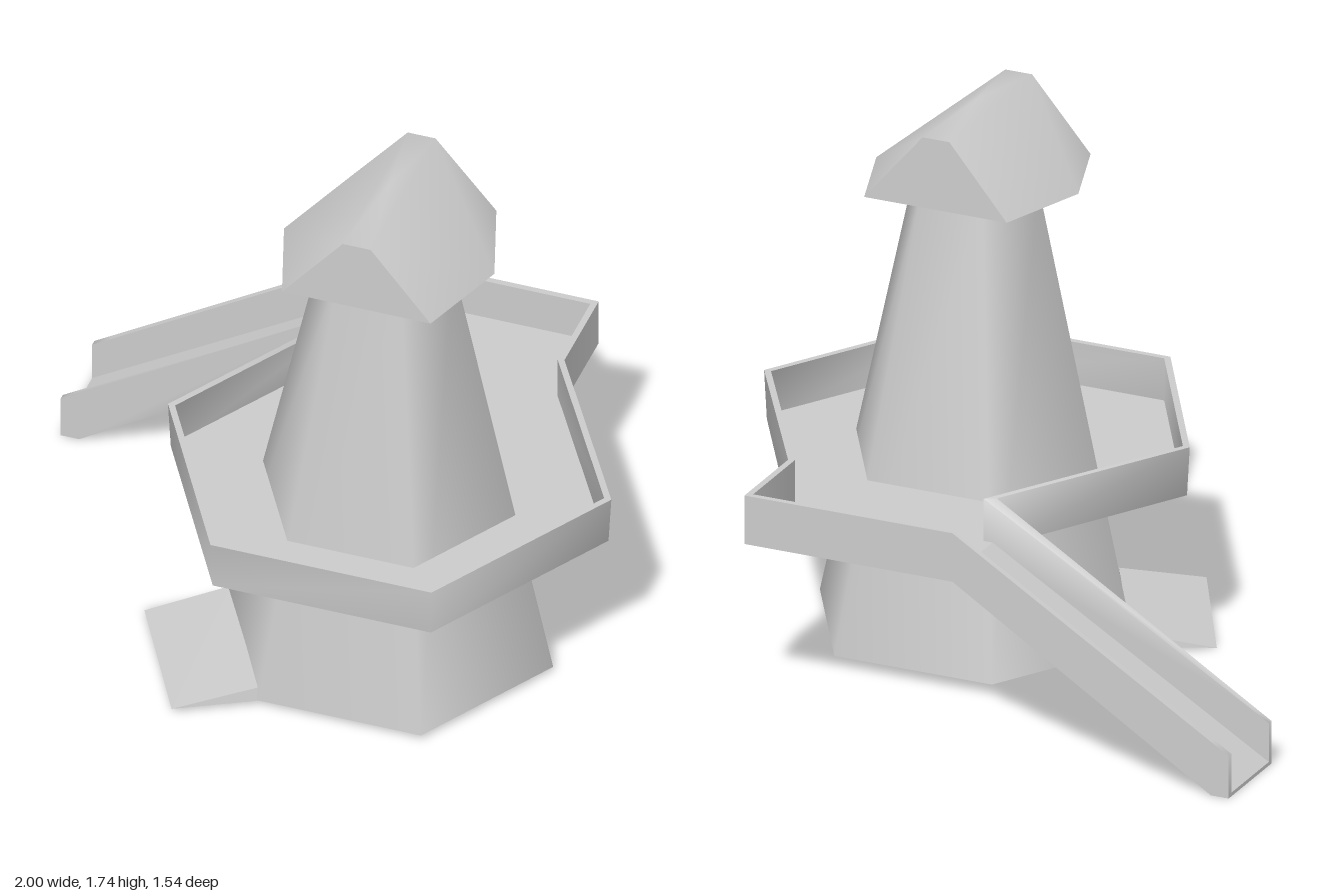
import * as THREE from 'three';
import { toCreasedNormals } from 'three/addons/utils/BufferGeometryUtils.js';
import { ConvexGeometry } from 'three/addons/geometries/ConvexGeometry.js';

const CX = 0.28, CZ = 0.15; // tower axis
const CREASE = 1.1;

// Thin wall following path points [x, z, yBottom, yTop, flare]; outside is on the left normal
function wallGeometry(path, width) {
  const normal = (a, b) => new THREE.Vector2(a[1] - b[1], b[0] - a[0]).normalize();
  const pos = [], idx = [], last = path.length - 1;
  path.forEach((p, i) => {
    const n0 = normal(path[Math.max(i - 1, 0)], path[Math.max(i, 1)]);
    const n1 = normal(path[Math.min(i, last - 1)], path[Math.min(i + 1, last)]);
    const m = n0.clone().add(n1).divideScalar(1 + n0.dot(n1));
    const [x, z, y0, y1, flare = 0] = p;
    for (const [off, y] of [[-flare, y0], [0, y1], [-width, y1], [-width, y0]]) {
      pos.push(x + m.x * off, y, z + m.y * off);
    }
    if (i < last) {
      for (let j = 0; j < 4; j++) {
        const a = i * 4 + j, b = i * 4 + (j + 1) % 4;
        idx.push(a, a + 4, b + 4, a, b + 4, b);
      }
    }
  });
  const e = last * 4;
  idx.push(0, 1, 2, 0, 2, 3, e, e + 2, e + 1, e, e + 3, e + 2);
  const g = new THREE.BufferGeometry();
  g.setAttribute('position', new THREE.Float32BufferAttribute(pos, 3));
  g.setIndex(idx);
  return toCreasedNormals(g, CREASE);
}

function polygon(points) {
  return new THREE.Shape(points.map(([x, y]) => new THREE.Vector2(x, y)));
}

export function createModel() {
  const group = new THREE.Group();
  const material = new THREE.MeshStandardMaterial({ color: 0xcccccc });
  const add = (name, geometry, x = 0, y = 0, z = 0) => {
    const mesh = new THREE.Mesh(geometry, material);
    mesh.name = name;
    mesh.position.set(x, y, z);
    group.add(mesh);
  };

  // Tapered six-sided tower, corners on the x axis
  add('tower', new THREE.CylinderGeometry(0.205, 0.53, 1.465, 6, 1, false, Math.PI / 2), CX, 0.7525, CZ);

  // Overhanging roof with a short ridge and a low peak
  const roof = [new THREE.Vector3(0, 1.735, 0)];
  for (const sx of [-1, 1]) {
    roof.push(new THREE.Vector3(sx * 0.34, 1.48, 0));
    for (const sz of [-1, 1]) {
      roof.push(new THREE.Vector3(sx * 0.24, 1.48, sz * 0.3));
      roof.push(new THREE.Vector3(sx * 0.045, 1.71, sz * 0.296));
    }
  }
  add('roof', toCreasedNormals(new ConvexGeometry(roof), CREASE), CX, 0, CZ);

  // Deck floor: hexagon with a bay at the back
  const outline = [
    [-0.07, -0.46], [-0.42, 0.15], [-0.065, 0.76], [0.625, 0.76],
    [0.98, 0.15], [0.625, -0.46], [0.625, -0.765], [-0.07, -0.765],
  ];
  const floor = new THREE.ExtrudeGeometry(polygon(outline.map(([x, z]) => [x, -z])), { depth: 0.02, bevelEnabled: false });
  floor.rotateX(-Math.PI / 2);
  add('deckFloor', floor, 0, 0.551, 0);

  // Slide floor running down from the bay
  const slide = polygon([[-1, 0], [-0.94, 0], [-0.07, 0.551], [-0.07, 0.571], [-1, 0.012]]);
  add('slideFloor', new THREE.ExtrudeGeometry(slide, { depth: 0.295, bevelEnabled: false }), 0, 0, -0.765);

  // Parapet around the deck, continuing down both sides of the slide
  const rim = [0.55, 0.71];
  add('parapet', wallGeometry([
    [-1, -0.465, 0, 0.14], [-0.94, -0.465, 0, 0.177], [-0.075, -0.465, ...rim],
    [-0.435, 0.15, ...rim, 0.008], [-0.077, 0.772, ...rim, 0.008],
    [0.637, 0.772, ...rim, 0.008], [0.998, 0.15, ...rim, 0.008],
    [0.63, -0.46, ...rim], [0.63, -0.772, ...rim],
    [-0.07, -0.772, ...rim], [-0.94, -0.772, 0, 0.177], [-1, -0.772, 0, 0.14],
  ], 0.02));

  // Entrance ramp wedge against one tower face
  const ramp = [
    [-0.465, 0.004, 0.28], [-0.215, 0.02, 0.737],
    [-0.25, 0.018, 0.15], [0.015, 0.018, 0.61],
    [-0.235, 0.062, 0.15], [0.015, 0.062, 0.6],
  ].map((p) => new THREE.Vector3(...p));
  add('ramp', new ConvexGeometry(ramp));

  return group;
}
